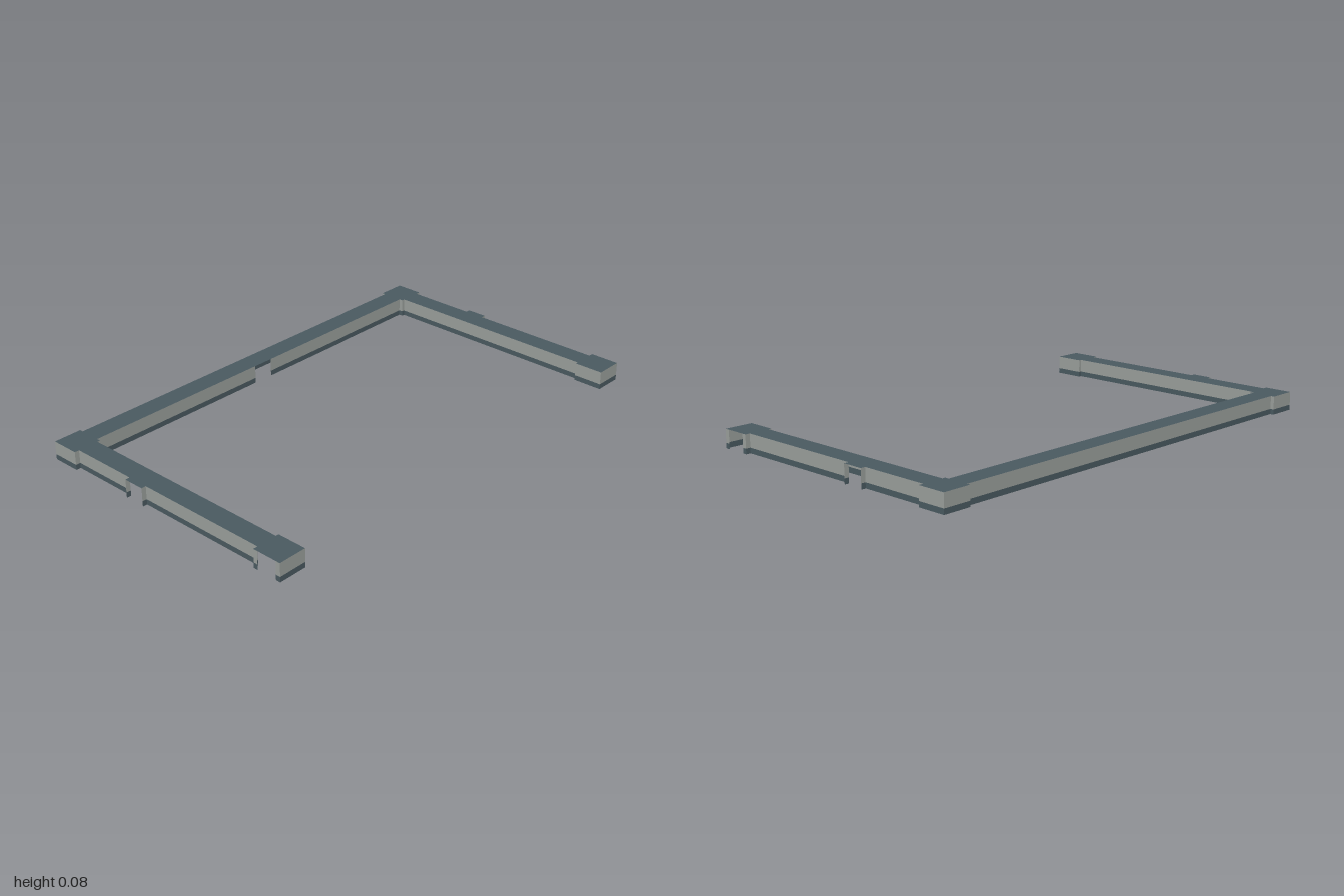
import * as THREE from 'three';
import { mergeGeometries } from 'three/addons/utils/BufferGeometryUtils.js';

const HEIGHT = 0.077;
const BASE = 0.022;

// Half of the plan outline as [x, z]; the other half mirrors across z = 0.
const half = [
  [-0.497, 0.045], [-0.497, 0.88], [-0.48, 0.88], [-0.48, 0.893],   // inner side of long wing
  [0.475, 0.893], [0.475, 0.88], [0.6, 0.88],                       // inner side of arm
  [0.6, 1], [0.58, 1], [0.493, 1], [0.475, 1], [0.475, 0.98],       // end pavilion
  [-0.098, 0.98], [-0.098, 1], [-0.187, 1], [-0.187, 0.98],         // porch
  [-0.48, 0.98], [-0.48, 1], [-0.6, 1], [-0.6, 0.88], [-0.585, 0.88], // corner pavilion
];
const outline = [...half, ...half.map(([x, z]) => [x, -z]).reverse()];

// Edges left open as passages, given by their midpoints [x, |z|].
const openings = [[0.5365, 1], [-0.1425, 1], [-0.497, 0]];
const isOpen = (x, z) => openings.some(([ox, oz]) =>
  Math.hypot(x - ox, Math.abs(z) - oz) < 0.005);

// A band of upright panels along the closed edges, facing outward.
function wallBand(y0, y1) {
  const panels = [];
  outline.forEach(([ax, az], i) => {
    const [bx, bz] = outline[(i + 1) % outline.length];
    const mx = (ax + bx) / 2, mz = (az + bz) / 2;
    if (isOpen(mx, mz)) return;
    const dx = bx - ax, dz = bz - az;
    const panel = new THREE.PlaneGeometry(Math.hypot(dx, dz), y1 - y0);
    panel.rotateY(Math.atan2(dz, -dx));
    panel.translate(mx, (y0 + y1) / 2, mz);
    panels.push(panel);
  });
  return mergeGeometries(panels);
}

export function createModel() {
  const slate = new THREE.MeshStandardMaterial({ color: 0x4a5a61, side: THREE.DoubleSide });
  slate.name = 'slate';
  const stone = new THREE.MeshStandardMaterial({ color: 0x9ba09c, side: THREE.DoubleSide });
  stone.name = 'pale stone';

  const group = new THREE.Group();
  group.name = 'courtyardBuilding';
  const add = (name, geometry, material) => {
    const mesh = new THREE.Mesh(geometry, material);
    mesh.name = name;
    group.add(mesh);
  };

  // Flat roof over the whole plan
  const plan = new THREE.Shape(outline.map(([x, z]) => new THREE.Vector2(x, -z)));
  const roof = new THREE.ShapeGeometry(plan);
  roof.rotateX(-Math.PI / 2);
  roof.translate(0, HEIGHT, 0);
  add('roof', roof, slate);

  // Walls with a dark plinth at the foot
  add('walls', wallBand(BASE, HEIGHT), stone);
  add('plinth', wallBand(0, BASE), slate);

  return group;
}
